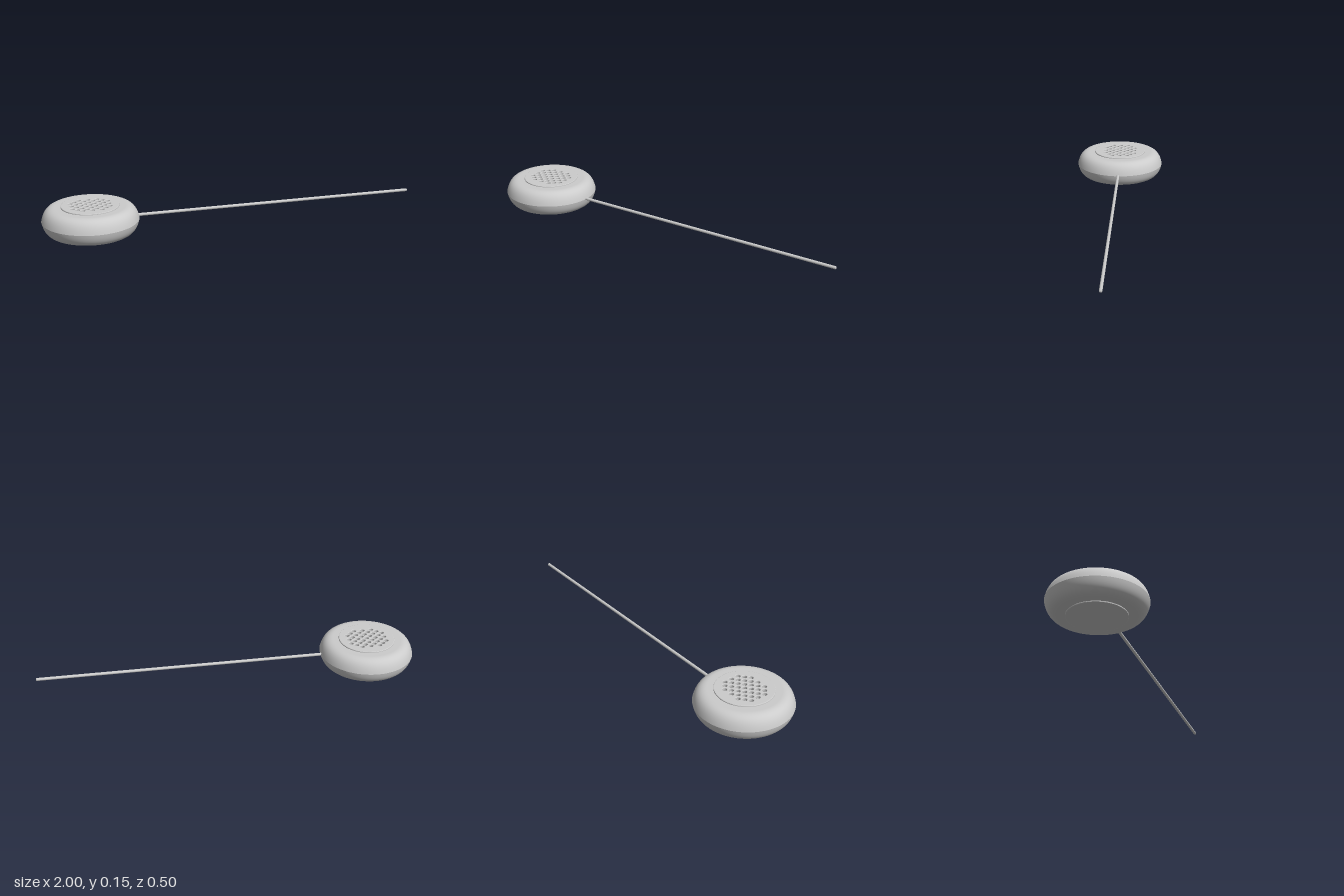
import * as THREE from 'three';

const CX = -0.752, MID = 0.077;
const material = new THREE.MeshStandardMaterial({ color: 0xcccccc });

function add(parent, geometry, name) {
  const mesh = new THREE.Mesh(geometry, material);
  mesh.name = name;
  parent.add(mesh);
  return mesh;
}

// Half of the rounded shell; side is +1 for the upper half, -1 for the lower
function shellHalf(side) {
  const curve = new THREE.CubicBezierCurve(
    new THREE.Vector2(0.248, MID),
    new THREE.Vector2(0.239, MID + side * 0.042),
    new THREE.Vector2(0.222, MID + side * 0.071),
    new THREE.Vector2(0.18, MID + side * 0.071)
  );
  const points = [...curve.getPoints(20), new THREE.Vector2(0.144, MID + side * 0.071)];
  if (side < 0) points.reverse();
  return new THREE.LatheGeometry(points, 96);
}

// Round plate with a small bevelled rim, lying flat between y0 and y1
function plate(y0, y1, holes = []) {
  const bevel = 0.003;
  const shape = new THREE.Shape().absarc(0, 0, 0.145, 0, Math.PI * 2);
  shape.holes = holes;
  const geometry = new THREE.ExtrudeGeometry(shape, {
    depth: y1 - y0 - 2 * bevel, bevelEnabled: true,
    bevelSize: bevel, bevelThickness: bevel, bevelSegments: 2, curveSegments: 48
  });
  geometry.rotateX(-Math.PI / 2);
  geometry.translate(0, y0 + bevel, 0);
  return geometry;
}

// Staggered grid of round openings
function grilleHoles() {
  const holes = [];
  for (let i = -4; i <= 4; i++) {
    for (let j = -4; j <= 4; j++) {
      const x = i * 0.0238, z = j * 0.0208;
      if ((i + j) % 2 !== 0 || Math.hypot(x, z) > 0.108) continue;
      // the bevel narrows each opening to its final radius
      holes.push(new THREE.Path().absarc(x, z, 0.0145, 0, Math.PI * 2, true));
    }
  }
  return holes;
}

export function createModel() {
  const model = new THREE.Group();

  // Puck-shaped body
  const body = new THREE.Group();
  body.name = 'body';
  body.position.x = CX;
  model.add(body);
  add(body, shellHalf(1), 'upperShell');
  add(body, shellHalf(-1), 'lowerShell');
  add(body, plate(0.138, 0.154, grilleHoles()), 'perforatedTopPlate');
  add(body, plate(0, 0.014), 'basePlate');

  // Floor seen through the openings
  const floor = add(body, new THREE.CircleGeometry(0.146, 48), 'grilleFloor');
  floor.rotation.x = -Math.PI / 2;
  floor.position.y = 0.139;

  // Straight cable with a slightly rounded tip
  const start = -0.52, end = 1, r = 0.008;
  const profile = [[0, 0], [r, 0], [r, end - start - 0.004], [r * 0.75, end - start - 0.001], [0, end - start]]
    .map(([x, y]) => new THREE.Vector2(x, y));
  const cable = add(model, new THREE.LatheGeometry(profile, 20), 'cable');
  cable.rotation.z = -Math.PI / 2;
  cable.position.set(start, MID, 0);

  return model;
}
